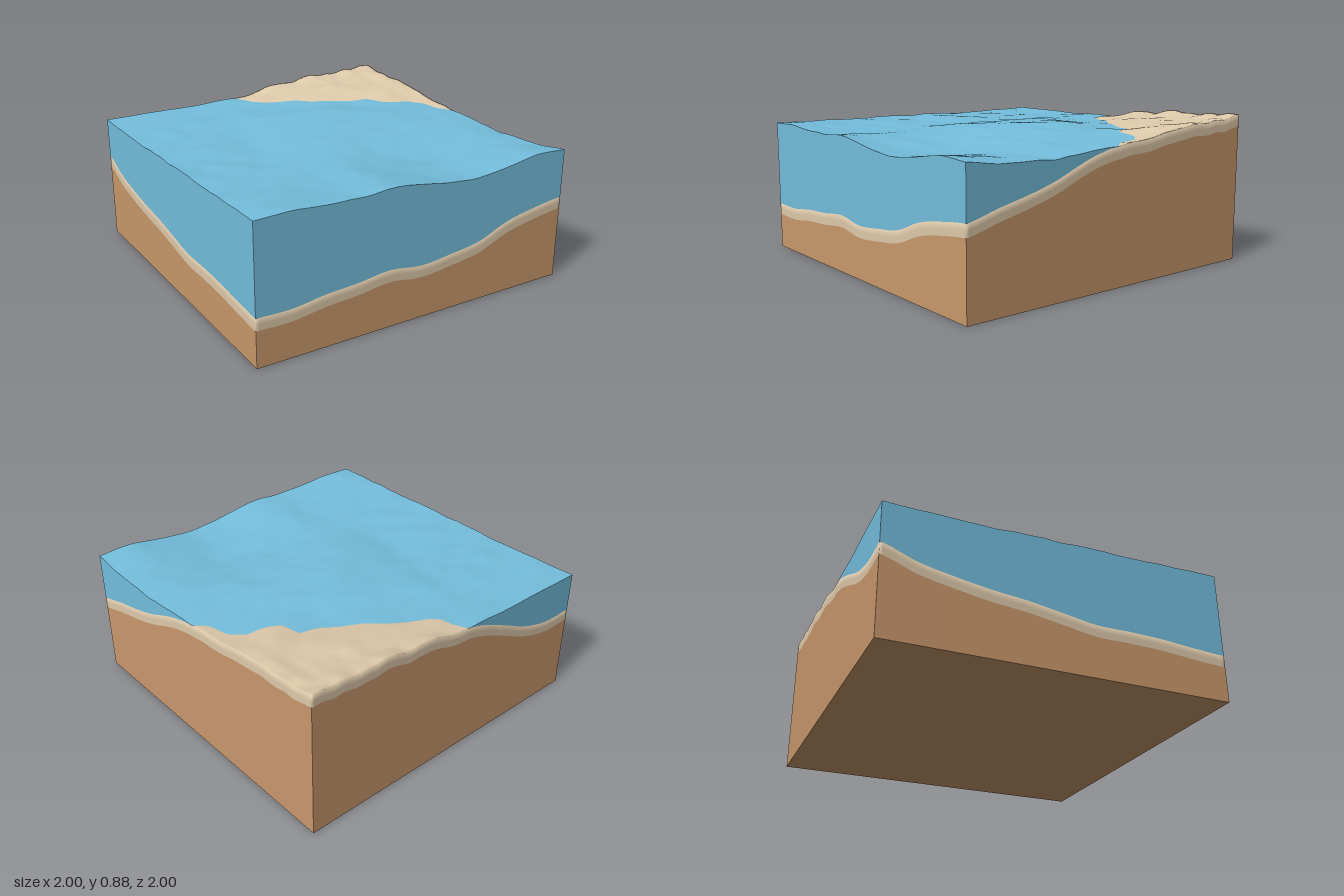
import * as THREE from 'three';
import { mergeGeometries, mergeVertices } from 'three/addons/utils/BufferGeometryUtils.js';

const N = 110;      // grid cells per side
const BAND = 0.07;  // thickness of the sand layer

// Smooth edge profile from evenly spaced heights, evaluated at t = 0..1
function profile(values) {
  const curve = new THREE.SplineCurve(values.map((v, i) => new THREE.Vector2(i, v)));
  return t => curve.getPoint(THREE.MathUtils.clamp(t, 0, 1)).y;
}

// Surface stretched between four edge profiles (back/front along x, left/right along z)
function patch(back, front, left, right) {
  return (x, z) => {
    const u = (x + 1) / 2, v = (z + 1) / 2;
    const corners = (1 - v) * ((1 - u) * back(0) + u * back(1)) + v * ((1 - u) * front(0) + u * front(1));
    return (1 - v) * back(u) + v * front(u) + (1 - u) * left(v) + u * right(v) - corners;
  };
}

// Seeded value noise for ripples
function hash(i, j) {
  const s = Math.sin(i * 127.1 + j * 311.7) * 43758.5453;
  return s - Math.floor(s);
}
function noise(x, z) {
  const i = Math.floor(x), j = Math.floor(z);
  const s = t => t * t * (3 - 2 * t);
  const a = s(x - i), b = s(z - j);
  const top = hash(i, j) * (1 - a) + hash(i + 1, j) * a;
  const low = hash(i, j + 1) * (1 - a) + hash(i + 1, j + 1) * a;
  return top * (1 - b) + low * b - 0.5;
}

// Shoreline as x, z points, from the back edge to the right edge
const shore = [[-0.13, -1.3], [-0.1, -1], [-0.055, -0.9], [-0.045, -0.84], [0.01, -0.79], [0.2, -0.7], [0.3, -0.61],
  [0.42, -0.55], [0.52, -0.48], [0.63, -0.46], [0.66, -0.34], [0.72, -0.3], [0.84, -0.28], [0.91, -0.21],
  [0.935, -0.07], [1, 0.01], [1.15, 0.2]];

// Signed distance to the shoreline, positive on land
function shoreDistance(x, z) {
  let best = Infinity, land = false;
  for (let i = 0; i < shore.length - 1; i++) {
    const [ax, az] = shore[i], [bx, bz] = shore[i + 1];
    const dx = bx - ax, dz = bz - az;
    const t = THREE.MathUtils.clamp(((x - ax) * dx + (z - az) * dz) / (dx * dx + dz * dz), 0, 1);
    best = Math.min(best, Math.hypot(x - ax - t * dx, z - az - t * dz));
    if (x >= ax && x < bx) land = z < az + (x - ax) / dx * dz;
  }
  return land ? best : -best;
}

const waterBase = patch(
  profile([0.77, 0.77, 0.775, 0.775, 0.78, 0.785, 0.8, 0.8, 0.8, 0.8, 0.8]),
  profile([0.8, 0.803, 0.79, 0.786, 0.798, 0.775, 0.745, 0.746, 0.77, 0.793, 0.788]),
  profile([0.77, 0.765, 0.765, 0.77, 0.775, 0.78, 0.78, 0.78, 0.785, 0.79, 0.8]),
  profile([0.8, 0.8, 0.8, 0.79, 0.78, 0.77, 0.763, 0.755, 0.75, 0.762, 0.788]));

const bedBase = patch(
  profile([0.53, 0.53, 0.58, 0.67, 0.75, 0.79, 0.83, 0.835, 0.84, 0.865, 0.89]),
  profile([0.28, 0.277, 0.302, 0.315, 0.336, 0.312, 0.33, 0.36, 0.435, 0.475, 0.5]),
  profile([0.53, 0.46, 0.42, 0.39, 0.37, 0.34, 0.31, 0.31, 0.305, 0.29, 0.28]),
  profile([0.89, 0.875, 0.84, 0.82, 0.785, 0.765, 0.72, 0.65, 0.595, 0.55, 0.5]));

function waterHeight(x, z) {
  const swell = 0.05 * Math.exp(-((x - 0.25) ** 2 + (z + 0.05) ** 2) / 0.2);
  const ripple = 0.012 * noise(x * 4 + z * 2 + 9, z * 5 - x * 2 + 3) + 0.006 * noise(x * 9 + 20, z * 11 + 7);
  return waterBase(x, z) + swell + ripple;
}

function sandHeight(x, z) {
  const d = shoreDistance(x, z), w = waterHeight(x, z);
  if (d > 0) {
    const lumps = 0.03 * noise(x * 6 + 31, z * 7 + 15) + 0.012 * noise(x * 14, z * 14);
    return w + 0.125 * d + lumps * Math.min(1, d * 2.5);
  }
  const near = Math.exp(-((d / 0.18) ** 2));
  return (w + 0.25 * d) * near + Math.min(bedBase(x, z), w - 0.02) * (1 - near);
}

function geometry(positions, index) {
  const g = new THREE.BufferGeometry();
  g.setAttribute('position', new THREE.Float32BufferAttribute(positions, 3));
  g.setIndex(index);
  g.computeVertexNormals();
  return g;
}

// Upward facing height field; keep(x, z) chooses the cells
function sheet(height, keep = () => true) {
  const pos = [], index = [];
  for (let j = 0; j <= N; j++) {
    for (let i = 0; i <= N; i++) {
      const x = -1 + 2 * i / N, z = -1 + 2 * j / N;
      pos.push(x, height(x, z), z);
      if (i < N && j < N && keep(x, z)) {
        const a = j * (N + 1) + i, b = a + 1, c = a + N + 1, e = c + 1;
        index.push(a, c, b, b, c, e);
      }
    }
  }
  return geometry(pos, index);
}

// Four outward facing walls between two height functions
function walls(low, high) {
  const sides = [t => [t, 1], t => [1, -t], t => [-t, -1], t => [-1, t]];
  return sides.map(side => {
    const pos = [], index = [];
    for (let i = 0; i <= N; i++) {
      const [x, z] = side(-1 + 2 * i / N);
      pos.push(x, low(x, z), z, x, high(x, z), z);
      if (i < N) {
        const a = 2 * i;
        index.push(a, a + 2, a + 3, a, a + 3, a + 1);
      }
    }
    return geometry(pos, index);
  });
}

export function createModel() {
  const model = new THREE.Group();
  const material = (name, color) => {
    const m = new THREE.MeshStandardMaterial({ color });
    m.name = name;
    return m;
  };
  const add = (name, geo, mat) => {
    const mesh = new THREE.Mesh(geo, mat);
    mesh.name = name;
    model.add(mesh);
  };
  const water = material('water blue', 0x74bedd);
  const sand = material('pale sand', 0xdfcaab);
  const earth = material('brown earth', 0xc9996c);
  const sandBottom = (x, z) => sandHeight(x, z) - BAND;
  const sandMiddle = (x, z) => sandHeight(x, z) - BAND / 2;

  // Earth block with a flat underside
  add('earthWalls', mergeGeometries(walls(() => 0, sandBottom)), earth);
  const base = new THREE.PlaneGeometry(2, 2).rotateX(Math.PI / 2);
  add('earthUnderside', base, earth);

  // Sand layer, softened where its top rolls into the sides
  const layer = mergeGeometries([sheet(sandHeight), ...walls(sandMiddle, sandHeight), ...walls(sandBottom, sandMiddle)]);
  layer.deleteAttribute('normal');
  const softLayer = mergeVertices(layer, 1e-5);
  softLayer.computeVertexNormals();
  add('sandLayer', softLayer, sand);

  // Water surface and its cut sides, ending at the shoreline
  add('waterSurface', sheet(waterHeight, (x, z) => shoreDistance(x, z) < 0.08), water);
  const waterTop = (x, z) => Math.max(waterHeight(x, z), sandHeight(x, z));
  add('waterSides', mergeGeometries(walls(sandHeight, waterTop)), water);

  return model;
}
